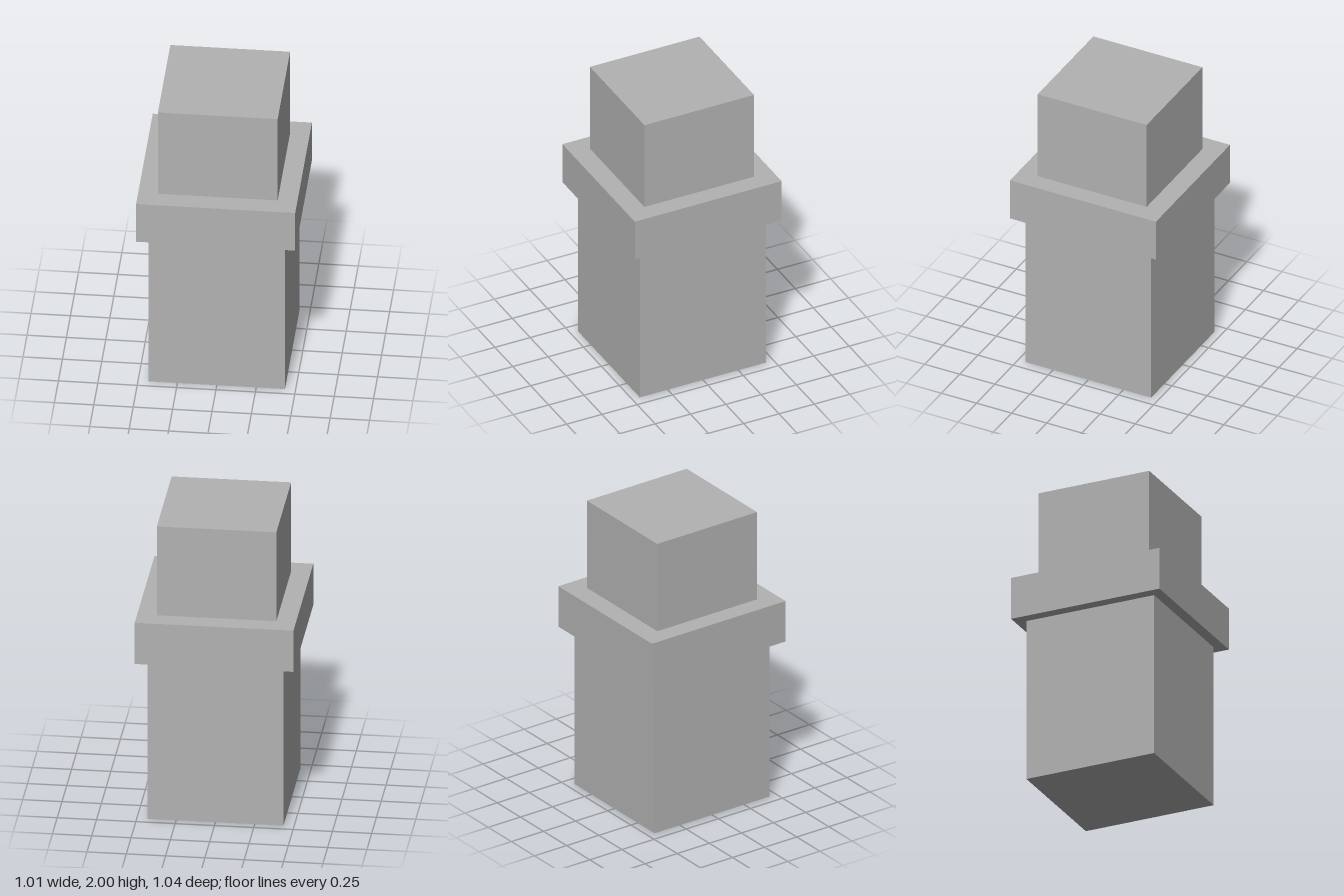
import * as THREE from 'three';

export function createModel() {
  const model = new THREE.Group();
  model.name = 'steppedPillar';

  const grey = new THREE.MeshStandardMaterial({ color: 0xb2b2b2 });
  grey.name = 'plain grey';

  // Upright block spanning from bottom to top
  function addBlock(name, width, depth, bottom, top) {
    const mesh = new THREE.Mesh(new THREE.BoxGeometry(width, top - bottom, depth), grey);
    mesh.name = name;
    mesh.position.y = (bottom + top) / 2;
    model.add(mesh);
  }

  addBlock('lowerShaft', 0.865, 0.895, 0, 1.1);
  addBlock('collar', 1.01, 1.04, 1.1, 1.385);
  addBlock('upperBlock', 0.76, 0.776, 1.385, 2);

  return model;
}
